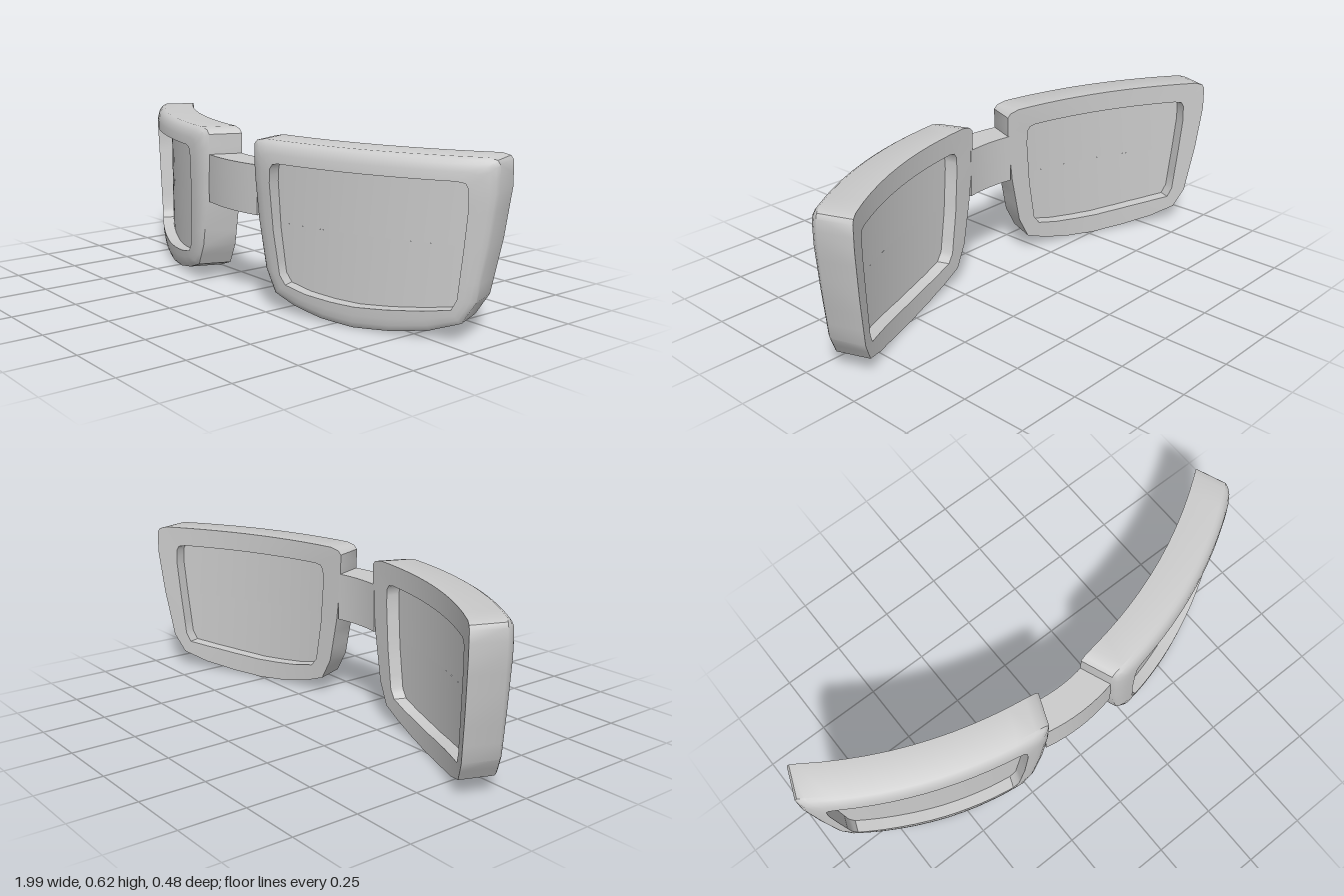
import * as THREE from 'three';
import { toCreasedNormals } from 'three/addons/utils/BufferGeometryUtils.js';

const material = new THREE.MeshStandardMaterial({ color: 0xcccccc });

// Paired outlines of one rim (outer edge, opening), anticlockwise from the top inner corner
const OUTER = [[.2, .62], [.16, .612], [.145, .597], [.147, .5], [.168, .33], [.205, .15], [.25, .065],
  [.34, .033], [.45, .01], [.57, 0], [.7, .009], [.82, .03], [.91, .065], [.948, .14], [.978, .33],
  [.997, .51], [.996, .597], [.988, .612], [.965, .62]];
const OPENING = [[.29, .543], [.265, .538], [.253, .522], [.25, .47], [.264, .3], [.29, .14], [.315, .108],
  [.4, .09], [.5, .081], [.59, .078], [.7, .086], [.81, .099], [.893, .113], [.909, .15], [.925, .33],
  [.935, .46], [.933, .522], [.925, .538], [.9, .543]];

// Split long sides so that they can follow the wrap of the face
function refine() {
  const outer = [], inner = [], n = OUTER.length;
  const mix = (a, b, t) => [a[0] + (b[0] - a[0]) * t, a[1] + (b[1] - a[1]) * t];
  for (let i = 0; i < n; i++) {
    const j = (i + 1) % n;
    const steps = Math.ceil(Math.hypot(OUTER[j][0] - OUTER[i][0], OUTER[j][1] - OUTER[i][1]) / 0.07);
    for (let k = 0; k < steps; k++) {
      outer.push(mix(OUTER[i], OUTER[j], k / steps));
      inner.push(mix(OPENING[i], OPENING[j], k / steps));
    }
  }
  return { outer, inner };
}

// Set a flat point on the curved, turned face; depth runs along the lens axis
const TURN = 0.378, COS = Math.cos(TURN), SIN = Math.sin(TURN);
function wrap(x, y, depth, side) {
  let u = 0, bend = 0;
  for (let k = 0; k < 6; k++) {
    bend = 0.063 * (1 - (u / 0.46) ** 2);
    u = (x - 0.572 - bend * SIN) / COS;
  }
  const d = bend + depth;
  return [side * (0.572 + u * COS + d * SIN), y, 0.05 - u * SIN + d * COS];
}

// Skin a list of closed loops; closed also joins the last loop to the first
function loft(loops, closed, side) {
  const n = loops[0].length, m = loops.length, index = [];
  for (let j = 0; j < (closed ? m : m - 1); j++) {
    for (let i = 0; i < n; i++) {
      const a = j * n + i, b = j * n + (i + 1) % n;
      const d = ((j + 1) % m) * n + i, c = ((j + 1) % m) * n + (i + 1) % n;
      if (side > 0) index.push(a, b, c, a, c, d);
      else index.push(a, c, b, a, d, c);
    }
  }
  const geometry = new THREE.BufferGeometry();
  geometry.setAttribute('position', new THREE.Float32BufferAttribute(loops.flat(2), 3));
  geometry.setIndex(index);
  return toCreasedNormals(geometry, 0.6);
}

function part(name, geometry) {
  const mesh = new THREE.Mesh(geometry, material);
  mesh.name = name;
  return mesh;
}

function eyepiece(side) {
  const group = new THREE.Group();
  const { outer, inner } = refine();

  // Rim: [share of the way from outer edge to opening, depth]; the front is rounded
  const profile = [[0, -.128], [0, 0], [.1, .013], [.28, .024], [.6, .031], [1, .033], [1, -.128]];
  const rim = profile.map(([t, depth]) => outer.map(([x, y], i) => {
    const [ix, iy] = inner[i];
    const py = y + (iy - y) * t;
    const lift = depth > 0 ? 0.4 + 0.6 * Math.min(1, py / 0.5) : 1;
    return wrap(x + (ix - 0.008 - x) * t, py, depth * lift, side);
  }));
  group.add(part('rim', loft(rim, true, side)));

  // Lens: a curved pane recessed from both faces, closing on its middle line
  const pane = [[1, -.08], [0, -.08], [0, -.03], [1, -.03]];
  const lens = pane.map(([t, depth]) => inner.map(([x, y]) =>
    wrap(x - 0.008, y + (0.32 - y) * t, depth, side)));
  group.add(part('lens', loft(lens, false, side)));
  return group;
}

// Bridge: a curved bar seen from above, drawn as (x, -z)
function bridge() {
  const shape = new THREE.Shape();
  shape.moveTo(-0.155, -0.216);
  shape.quadraticCurveTo(0, -0.25, 0.155, -0.216);
  shape.lineTo(0.11, -0.098);
  shape.quadraticCurveTo(0, -0.118, -0.11, -0.098);
  shape.closePath();
  const geometry = new THREE.ExtrudeGeometry(shape, { depth: 0.185, bevelEnabled: false, curveSegments: 8 });
  geometry.rotateX(-Math.PI / 2).translate(0, 0.335, 0);
  return part('bridge', toCreasedNormals(geometry, 0.6));
}

export function createModel() {
  const model = new THREE.Group();
  model.name = 'glasses';
  for (const [name, side] of [['leftEyepiece', 1], ['rightEyepiece', -1]]) {
    const group = eyepiece(side);
    group.name = name;
    model.add(group);
  }
  model.add(bridge());
  return model;
}
